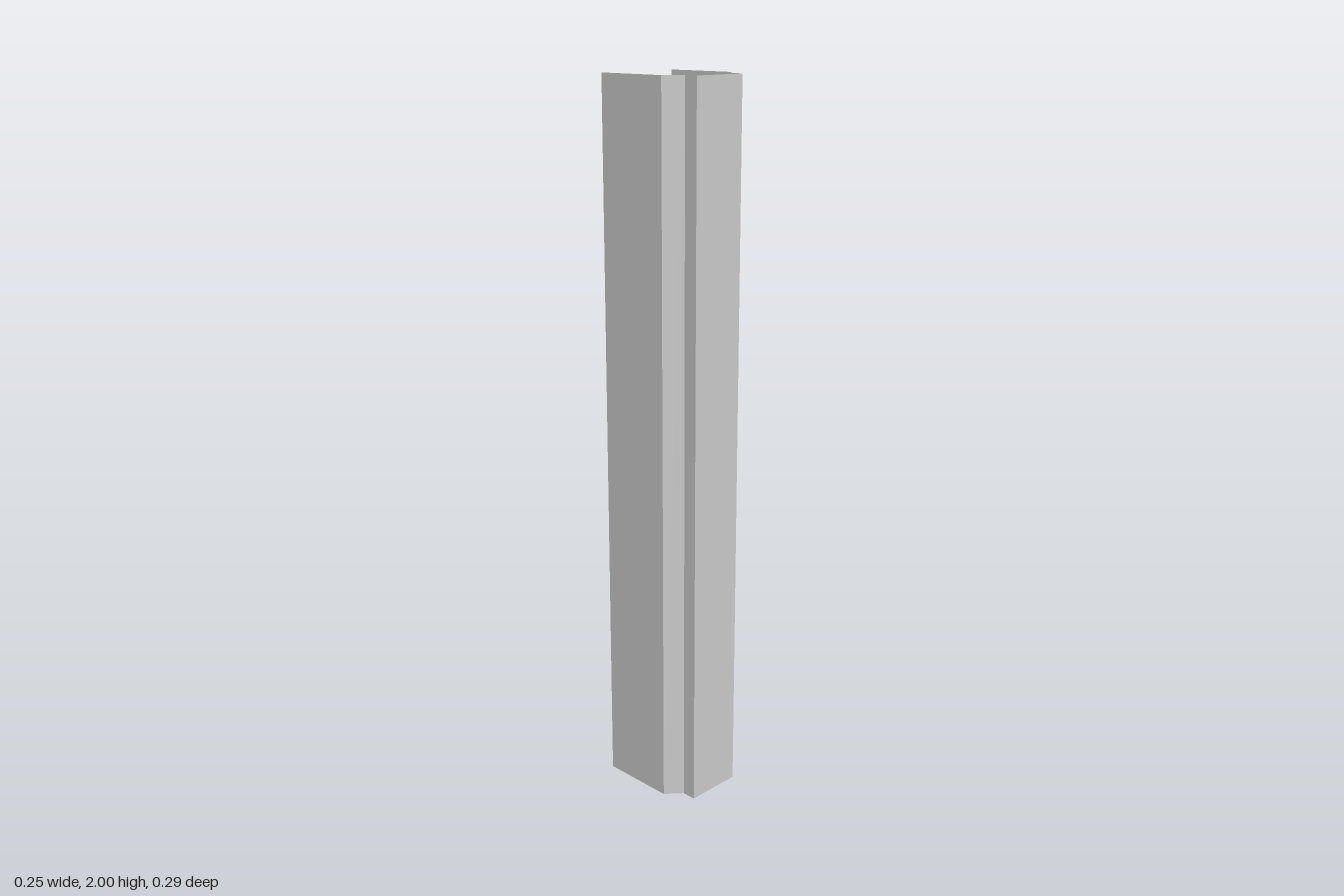
import * as THREE from 'three';

const HEIGHT = 2;

// Half of the cross-section (x, z), from the face edge round to the open back
const HALF_PROFILE = [
  [0.082, 0.147], // edge of the front face
  [0.082, 0.107], // foot of the step
  [0.126, 0.069], // outer end of the slanted shoulder
  [0.126, -0.147], // rear edge of the side flange
];

export function createModel() {
  const group = new THREE.Group();
  group.name = 'channelPost';

  // Mirror the half to get the whole open profile, from -x round to +x
  const mirrored = HALF_PROFILE.map(([x, z]) => [-x, z]).reverse();
  const profile = [...mirrored, ...HALF_PROFILE];

  // Fold a flat sheet along the profile
  const sheet = new THREE.PlaneGeometry(1, HEIGHT, profile.length - 1, 1);
  const pos = sheet.attributes.position;
  for (let i = 0; i < pos.count; i++) {
    const [x, z] = profile[i % profile.length];
    pos.setXYZ(i, x, pos.getY(i) + HEIGHT / 2, z);
  }

  // Separate the panels so that every fold stays sharp
  const folded = sheet.toNonIndexed();
  folded.computeVertexNormals();

  const material = new THREE.MeshStandardMaterial({
    color: 0xcccccc,
    flatShading: true,
    side: THREE.DoubleSide,
  });
  const channel = new THREE.Mesh(folded, material);
  channel.name = 'foldedSheet';
  group.add(channel);
  return group;
}
